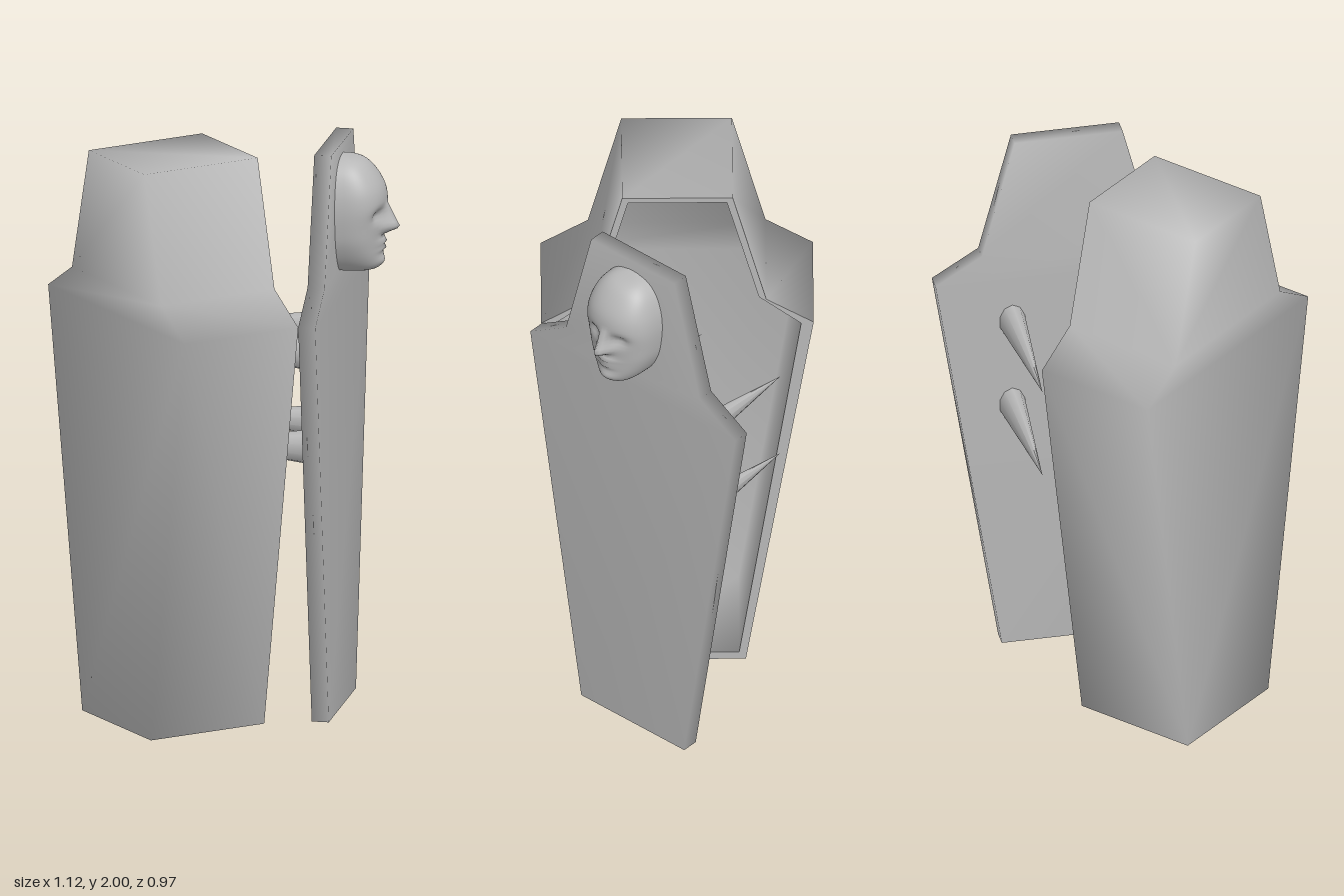
import * as THREE from 'three';

const iron = new THREE.MeshStandardMaterial({ color: 0xb8b8b8 });
iron.name = 'iron grey';

// Smooth-shaded mesh from points and quads
function quadMesh(name, points, quads) {
  const g = new THREE.BufferGeometry();
  g.setAttribute('position', new THREE.Float32BufferAttribute(points.flat(), 3));
  g.setIndex(quads.flatMap(([a, b, c, d]) => [a, b, c, a, c, d]));
  g.computeVertexNormals();
  const m = new THREE.Mesh(g, iron);
  m.name = name;
  return m;
}

// Coffin outline, counter-clockwise, at depth z
function outline(z, half, ys) {
  const [b, s, n, t] = half, [y0, y1, y2, y3] = ys;
  return [[-b, y0], [b, y0], [s, y1], [n, y2], [t, y3], [-t, y3], [-n, y2], [-s, y1]]
    .map(([x, y]) => [x, y, z]);
}
const OUTER = [[0.235, 0.468, 0.305, 0.19], [0, 1.46, 1.56, 2]];
const INNER = [[0.212, 0.425, 0.28, 0.17], [0.03, 1.455, 1.57, 1.98]];

// Loft through outline rings with optional caps
function loft(name, rings, { backCap = false, frontCap = false }) {
  const quads = [];
  const cap = [[0, 1, 2, 7], [7, 2, 3, 6], [6, 3, 4, 5]];
  for (let r = 0; r < rings.length - 1; r++) {
    for (let i = 0; i < 8; i++) {
      const j = (i + 1) % 8, a = r * 8, b = a + 8;
      quads.push([a + i, a + j, b + j, b + i]);
    }
  }
  if (backCap) cap.forEach(q => quads.push([...q].reverse()));
  if (frontCap) cap.forEach(q => quads.push(q.map(i => i + (rings.length - 1) * 8)));
  return quadMesh(name, rings.flat(), quads);
}

// Sculpted mask: half-round sections with nose, eye and mouth bumps
function makeFace() {
  const profile = new THREE.CatmullRomCurve3([
    [0.015, 1.553, 0.03], [0.06, 1.565, 0.125], [0.09, 1.6, 0.14], [0.118, 1.66, 0.142],
    [0.13, 1.72, 0.146], [0.135, 1.79, 0.158], [0.128, 1.85, 0.15], [0.105, 1.91, 0.115],
    [0.07, 1.945, 0.075], [0.015, 1.962, 0.0],
  ].map(p => new THREE.Vector3(...p)));
  const bump = (x, y, sx, sy) => Math.exp(-((x / sx) ** 2) - (y / sy) ** 2);
  const rows = 48, cols = 36, points = [], quads = [];
  for (let r = 0; r <= rows; r++) {
    const { x: w, y, z: d } = profile.getPoint(r / rows);
    const ridge = y > 1.71
      ? THREE.MathUtils.clamp((1.8 - y) / 0.09, 0, 1)
      : THREE.MathUtils.clamp((y - 1.682) / 0.028, 0, 1);
    for (let c = 0; c <= cols; c++) {
      const a = (c / cols - 0.5) * Math.PI;
      const u = w * Math.sin(a);
      const edge = Math.max(0, Math.cos(a)) ** 0.6;
      let n = 0.028 + Math.max(0, d) * edge;
      n += 0.062 * ridge * Math.exp(-((u / (0.014 + 0.012 * ridge)) ** 2));
      n -= 0.022 * bump(Math.abs(u) - 0.055, y - 1.76, 0.032, 0.022);
      n += 0.016 * bump(u, y - 1.662, 0.04, 0.009);
      n += 0.014 * bump(u, y - 1.638, 0.035, 0.009);
      n += 0.012 * bump(u, y - 1.59, 0.04, 0.018);
      points.push([u, y, n]);
      if (r < rows && c < cols) {
        const i = r * (cols + 1) + c, k = i + cols + 1;
        quads.push([i, i + 1, k + 1, k]);
      }
    }
  }
  return quadMesh('faceMask', points, quads);
}

export function createModel() {
  const model = new THREE.Group();
  model.name = 'spikedCoffin';

  // Hollow case, opening toward +x
  const depth = 0.45;
  const body = new THREE.Group();
  body.name = 'case';
  body.add(
    loft('caseShell', [outline(0, ...OUTER), outline(depth, ...OUTER)], { backCap: true }),
    loft('caseRim', [outline(depth, ...OUTER), outline(depth, ...INNER)], {}),
    loft('caseLining', [outline(depth, ...INNER), outline(0.03, ...INNER)], { frontCap: true }),
  );
  body.position.set(-0.56, 0, -0.02);
  body.rotation.y = Math.PI / 2;
  model.add(body);

  // Door swung open on its hinge edge
  const door = new THREE.Group();
  door.name = 'door';
  door.add(loft('doorPanel', [outline(-0.03, ...OUTER), outline(0.03, ...OUTER)],
    { backCap: true, frontCap: true }));
  door.add(makeFace());

  // Spikes on the inner side of the door
  const spikeShape = new THREE.ConeGeometry(1, 0.485, 10, 1);
  spikeShape.rotateX(-Math.PI / 2);
  spikeShape.scale(0.046, 0.064, 1);
  for (const u of [-0.161, 0.198]) {
    for (const y of [0.955, 1.288]) {
      const spike = new THREE.Mesh(spikeShape, iron);
      spike.name = 'spike';
      spike.position.set(u, y, -0.03 - 0.485 / 2);
      door.add(spike);
    }
  }
  door.position.set(0.224, 0, 0.116);
  door.rotation.y = 0.845;
  model.add(door);

  return model;
}
